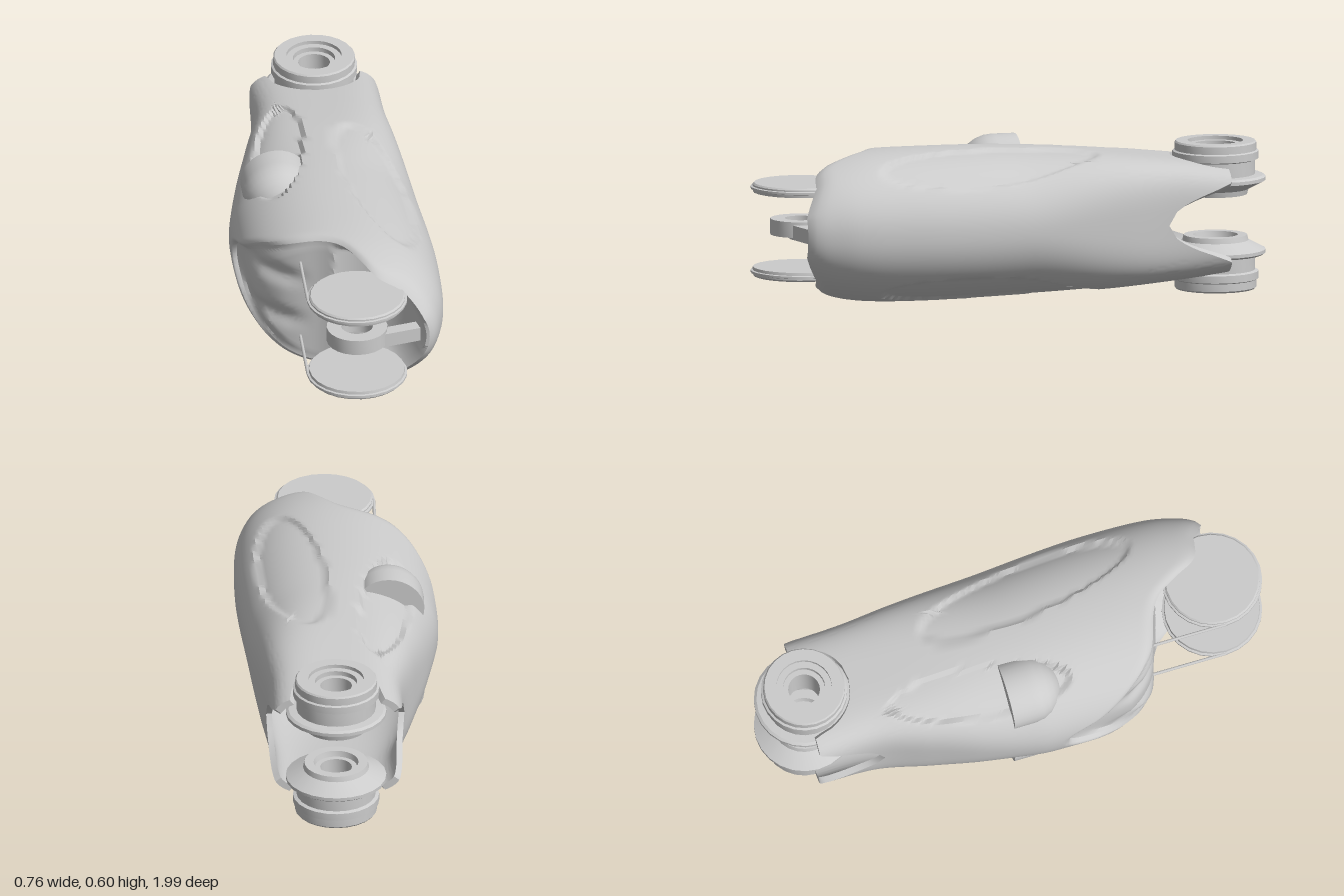
import * as THREE from 'three';
import { toCreasedNormals } from 'three/addons/utils/BufferGeometryUtils.js';

const MID = 0.3075; // height of the mirror plane
const { lerp, smoothstep, clamp } = THREE.MathUtils;

// Smooth interpolation through [position, value] pairs
function curve(pts) {
  const slope = (i) => {
    const a = pts[Math.max(i - 1, 0)], b = pts[Math.min(i + 1, pts.length - 1)];
    return (b[1] - a[1]) / (b[0] - a[0]);
  };
  return (t) => {
    if (t <= pts[0][0]) return pts[0][1];
    if (t >= pts[pts.length - 1][0]) return pts[pts.length - 1][1];
    let i = 0;
    while (pts[i + 1][0] < t) i++;
    const h = pts[i + 1][0] - pts[i][0], s = (t - pts[i][0]) / h, s2 = s * s, s3 = s2 * s;
    return pts[i][1] * (2 * s3 - 3 * s2 + 1) + pts[i + 1][1] * (3 * s2 - 2 * s3)
      + h * (slope(i) * (s3 - 2 * s2 + s) + slope(i + 1) * (s3 - s2));
  };
}

// Body outlines along z, and the slanted cuts at its two ends
const leftEdge = curve([[-0.82, -0.23], [-0.6, -0.23], [-0.4, -0.28], [-0.2, -0.335], [0, -0.375], [0.1, -0.38], [0.5, -0.38]]);
const rightEdge = curve([[-0.82, 0.28], [-0.6, 0.285], [-0.4, 0.31], [-0.2, 0.335], [0, 0.355], [0.3, 0.378], [0.5, 0.38], [0.65, 0.372], [0.75, 0.35], [0.84, 0.32]]);
const halfHeight = curve([[-0.82, 0.21], [-0.6, 0.235], [-0.3, 0.265], [0, 0.283], [0.3, 0.288], [0.55, 0.283], [0.7, 0.262], [0.77, 0.24], [0.84, 0.2]]);
const frontCut = curve([[-0.38, 0.12], [-0.36, 0.27], [-0.3, 0.4], [-0.24, 0.47], [-0.18, 0.505], [-0.07, 0.54], [0, 0.585], [0.06, 0.67], [0.1, 0.735], [0.14, 0.765], [0.22, 0.785], [0.3, 0.835]]);
const sideCut = curve([[0, -0.57], [0.05, -0.6], [0.09, -0.67], [0.13, -0.76], [0.16, -0.82]]);

// Point on the body's rounded cross-section
function section(z, angle, inset = 0) {
  const l = leftEdge(z) + inset, r = rightEdge(z) - inset, h = halfHeight(z) - inset;
  const n = lerp(4, 2.15, smoothstep(z, -0.7, 0));
  const c = Math.cos(angle), s = Math.sin(angle), p = 2 / n;
  return [(l + r) / 2 + (r - l) / 2 * Math.sign(c) * Math.abs(c) ** p,
    MID + h * Math.sign(s) * Math.abs(s) ** p, z];
}

// Rear edge: U-notches at the sides, round notches about the joints
function rearZ(angle) {
  const [x, y] = section(-0.72, angle), dx = x - 0.03, dy = Math.abs(y - MID);
  const notch = dy > 0.1 && Math.abs(dx) < 0.175 ? -0.81 + Math.sqrt(0.175 ** 2 - dx * dx) : -0.82;
  return Math.max(notch, sideCut(dy));
}

// Front edge: where the section's side meets the front cut
function frontZ(angle) {
  let a = -0.5, b = 0.84;
  for (let i = 0; i < 24; i++) {
    const m = (a + b) / 2;
    if (m < frontCut(section(m, angle)[0])) a = m; else b = m;
  }
  return a;
}

// Tilted oval: 1 inside, 0 outside, with a narrow step between
function oval(x, z, cx, cz, rx, rz, tilt) {
  const c = Math.cos(tilt), s = Math.sin(tilt), dx = x - cx, dz = z - cz;
  const d = Math.hypot((dx * c - dz * s) / rx, (dx * s + dz * c) / rz);
  return 1 - smoothstep(d, 0.92, 1);
}

// Surface from rows of points, row by u and around by column
function surface(rows, cols, point) {
  const pos = [], index = [];
  for (let i = 0; i <= rows; i++) for (let j = 0; j <= cols; j++) pos.push(...point(i / rows, j));
  for (let i = 0; i < rows; i++) for (let j = 0; j < cols; j++) {
    const a = i * (cols + 1) + j, b = a + cols + 1;
    index.push(a, a + 1, b, b, a + 1, b + 1);
  }
  const g = new THREE.BufferGeometry();
  g.setAttribute('position', new THREE.Float32BufferAttribute(pos, 3));
  g.setIndex(index);
  return toCreasedNormals(g, 0.6);
}

export function createModel() {
  const model = new THREE.Group();
  const mat = new THREE.MeshStandardMaterial({ color: 0xcccccc, side: THREE.DoubleSide });
  const add = (name, geo, x = 0, y = 0, z = 0) => {
    const m = new THREE.Mesh(geo, mat);
    m.name = name;
    m.position.set(x, y, z);
    model.add(m);
    return m;
  };

  // Shell: outer skin with recessed oval panels, and a rounded front lip
  const N = 120;
  const angles = Array.from({ length: N + 1 }, (_, j) => j / N * Math.PI * 2);
  const rear = angles.map(rearZ), front = angles.map(frontZ);
  const outer = (u, j) => {
    const p = section(lerp(rear[j], front[j], u), angles[j]);
    let depth = 0;
    if (Math.abs(p[1] - MID) > 0.06) {
      depth = 0.013 * oval(p[0], p[2], 0.175, 0.1, 0.122, 0.45, 0.146)
        + 0.018 * oval(p[0], p[2], -0.175, -0.18, 0.095, 0.36, -0.13);
    }
    const lip = clamp((u - 0.96) / 0.04, 0, 1);
    const k = 1 - depth / 0.28 - 0.06 * (1 - Math.sqrt(1 - lip * lip));
    return [p[0] * k, MID + (p[1] - MID) * k, p[2]];
  };
  add('shell', surface(100, N, outer));

  // Inner wall of the hollow rear end, joined to the rear edge
  add('shellLining', surface(16, N, (u, j) => {
    if (u === 1) return [0, MID, -0.05];
    const k = N - j; // turned to face inward
    const z = lerp(rear[k], -0.1, Math.max(0, u - 1 / 16) / 0.875);
    return section(z, angles[k], u === 0 ? 0 : 0.022);
  }));

  // Front wall: hollowed around the hinge axis, grooved on the right
  add('frontWall', surface(24, N, (u, j) => {
    const rim = outer(1, j), s = 1 - u;
    const x = rim[0] * s, y = MID + (rim[1] - MID) * s, dx = x - 0.03, dy = Math.abs(y - MID);
    const hollow = Math.abs(dx) < 0.25 ? 0.8 - Math.sqrt(0.0625 - dx * dx) : 1;
    const groove = 0.04 * Math.exp(-(((dy - 0.09) / 0.035) ** 2)) * (1 - smoothstep(x, -0.3, -0.1));
    const z = Math.min(frontCut(x), hollow) - groove;
    return [x, y, lerp(rim[2], z, smoothstep(u, 0, 0.12))];
  }));

  // Mirrored fittings above and below the middle; profiles are [radius, distance from the middle]
  const jointProfile = [[0.06, 0.1], [0.08, 0.1], [0.085, 0.078], [0.12, 0.078], [0.125, 0.098], [0.19, 0.132],
    [0.19, 0.145], [0.18, 0.152], [0.15, 0.155], [0.15, 0.21], [0.163, 0.215], [0.163, 0.243], [0.155, 0.247],
    [0.155, 0.276], [0.15, 0.282], [0.105, 0.282], [0.105, 0.268], [0.08, 0.268], [0.08, 0.25], [0.06, 0.25], [0.06, 0.1]];
  const discProfile = [[0, 0.143], [0.18, 0.143], [0.182, 0.154], [0.19, 0.156], [0.19, 0.164],
    [0.182, 0.166], [0.182, 0.172], [0.176, 0.178], [0, 0.178]];
  // Hood stations are [z, scale]
  const hoodStations = [[0.13, 0], [0.126, 0.25], [0.112, 0.5], [0.091, 0.71], [0.065, 0.866],
    [0.034, 0.966], [0, 1], [-0.085, 1], [-0.085, 0]];
  for (const side of [1, -1]) {
    const place = side > 0 ? 'upper' : 'lower';
    const lathe = (profile) => {
      const pts = profile.map(([r, y]) => new THREE.Vector2(r, y * side));
      if (side < 0) pts.reverse();
      return toCreasedNormals(new THREE.LatheGeometry(pts, 24), 0.45);
    };
    add(place + 'RearJoint', lathe(jointProfile), 0.03, MID, -0.81);
    add(place + 'FrontDisc', lathe(discProfile), 0.03, MID, 0.8);

    // Thin rod from the disc's rim into the body
    const rod = add(place + 'Rod', new THREE.CylinderGeometry(0.006, 0.006, 0.36, 8), -0.156, MID + 0.16 * side, 0.62);
    rod.rotation.x = Math.PI / 2;

    // Hood over the end of the narrow slot: round nose, straight back, flat end, leaned to follow the body
    add(place + 'Hood', surface(8, 32, (u, j) => {
      const [z, k] = hoodStations[Math.round(u * 8)], a = -side * j / 32 * Math.PI * 2;
      const c = Math.cos(a) * k, s = Math.sin(a) * k;
      return [-0.195 + 0.125 * c + 0.03 * s, MID + side * (0.185 + 0.115 * s - 0.02 * c), z];
    }));
  }

  // Middle ring with an arm reaching into the shell
  const ring = new THREE.Shape();
  ring.absarc(0, 0, 0.115, 0, Math.PI * 2);
  const hole = new THREE.Path();
  hole.absarc(0, 0, 0.06, 0, Math.PI * 2, true);
  ring.holes.push(hole);
  const ringGeo = new THREE.ExtrudeGeometry(ring, { depth: 0.06, bevelEnabled: false, curveSegments: 12 });
  ringGeo.rotateX(-Math.PI / 2);
  add('middleRing', toCreasedNormals(ringGeo, 0.6), 0.03, 0.288, 0.8);
  const arm = add('middleArm', new THREE.BoxGeometry(0.17, 0.055, 0.05), 0.18, 0.308, 0.815);
  arm.rotation.y = 0.25;

  return model;
}
